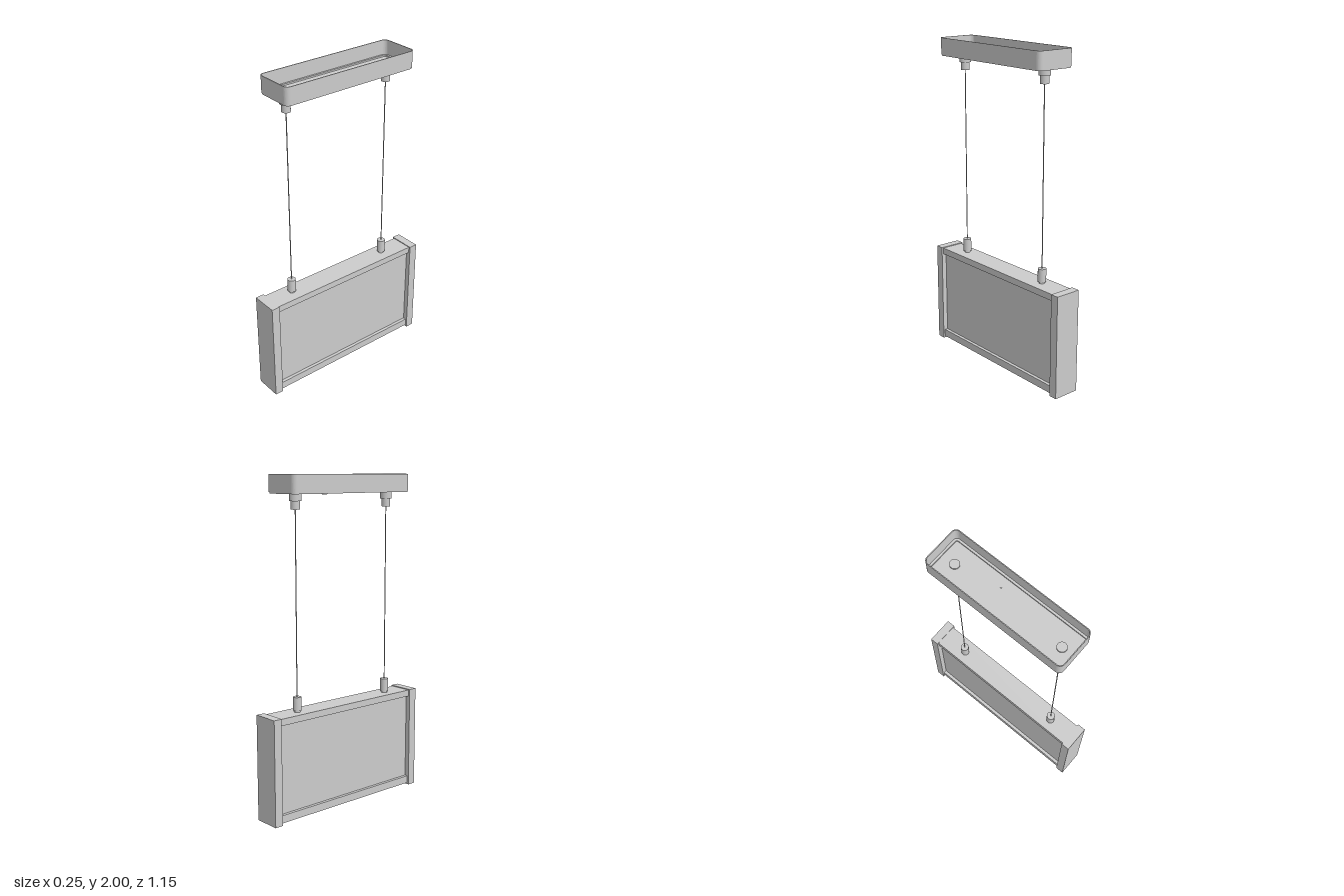
import * as THREE from 'three';

const grey = new THREE.MeshStandardMaterial({ color: 0xcccccc, side: THREE.DoubleSide });

function add(parent, name, geometry, x = 0, y = 0, z = 0) {
  const mesh = new THREE.Mesh(geometry, grey);
  mesh.name = name;
  mesh.position.set(x, y, z);
  parent.add(mesh);
  return mesh;
}

// Box given by its limits on each axis
function box(parent, name, [x0, x1], [y0, y1], [z0, z1]) {
  return add(parent, name, new THREE.BoxGeometry(x1 - x0, y1 - y0, z1 - z0),
    (x0 + x1) / 2, (y0 + y1) / 2, (z0 + z1) / 2);
}

// Upright cylinder between two heights
function rod(parent, name, r, y0, y1, x, z, sides = 24) {
  return add(parent, name, new THREE.CylinderGeometry(r, r, y1 - y0, sides), x, (y0 + y1) / 2, z);
}

// Rounded rectangle outline centred on the origin
function roundedRect(target, w, h, r) {
  const x = w / 2, y = h / 2;
  target.moveTo(-x + r, -y);
  target.lineTo(x - r, -y);
  target.absarc(x - r, -y + r, r, -Math.PI / 2, 0, false);
  target.lineTo(x, y - r);
  target.absarc(x - r, y - r, r, 0, Math.PI / 2, false);
  target.lineTo(-x + r, y);
  target.absarc(-x + r, y - r, r, Math.PI / 2, Math.PI, false);
  target.lineTo(-x, -y + r);
  target.absarc(-x + r, -y + r, r, Math.PI, Math.PI * 1.5, false);
  return target;
}

// Horizontal rounded slab, hollowed when a rim width is given
function slab(parent, name, w, d, r, y0, y1, rim = 0) {
  const shape = roundedRect(new THREE.Shape(), w, d, r);
  if (rim) shape.holes.push(roundedRect(new THREE.Path(), w - 2 * rim, d - 2 * rim, Math.max(r - rim, 0.006)));
  const geometry = new THREE.ExtrudeGeometry(shape, { depth: y1 - y0, bevelEnabled: false, curveSegments: 5 });
  geometry.rotateX(-Math.PI / 2);
  return add(parent, name, geometry, 0, y0, 0.002);
}

export function createModel() {
  const model = new THREE.Group();
  model.name = 'pendantSign';

  // Ceiling canopy: an open-topped tray
  const canopy = new THREE.Group();
  canopy.name = 'canopy';
  model.add(canopy);
  slab(canopy, 'canopyFloor', 0.244, 0.89, 0.028, 1.893, 1.903);
  slab(canopy, 'canopyWall', 0.25, 0.896, 0.03, 1.901, 2.0, 0.005);
  slab(canopy, 'canopyInnerLip', 0.242, 0.888, 0.026, 1.903, 1.912, 0.014);
  rod(canopy, 'canopyButton', 0.017, 1.884, 1.893, 0.053, -0.08);
  rod(canopy, 'buttonStem', 0.007, 1.893, 1.908, 0.053, -0.08, 12);

  // Hanging cables with their fittings
  const cableX = -0.004;
  for (const z of [0.365, -0.345]) {
    const hanger = new THREE.Group();
    hanger.name = 'hanger';
    model.add(hanger);
    rod(hanger, 'cable', 0.003, 0.72, 1.81, cableX, z, 10);
    rod(hanger, 'upperCollar', 0.035, 1.852, 1.894, cableX, z);
    rod(hanger, 'upperGrip', 0.026, 1.805, 1.854, cableX, z);
    rod(hanger, 'canopyNut', 0.028, 1.902, 1.912, cableX, z);
    rod(hanger, 'lowerNeck', 0.018, 0.63, 0.647, cableX, z);
    rod(hanger, 'lowerGrip', 0.025, 0.645, 0.726, cableX, z);
  }

  // Sign body: recessed panel held between rails and end caps
  const body = new THREE.Group();
  body.name = 'signBody';
  body.position.x = 0.002;
  model.add(body);
  const length = [-0.521, 0.521];
  box(body, 'panel', [-0.052, 0.052], [0.045, 0.6], length);
  box(body, 'topRail', [-0.072, 0.072], [0.595, 0.635], length);

  // Bottom rail, open underneath as a channel
  box(body, 'bottomRailWeb', [-0.072, 0.072], [0.042, 0.057], length);
  for (const s of [-1, 1]) {
    box(body, 'bottomRailSide', s < 0 ? [-0.072, -0.045] : [0.045, 0.072], [0.01, 0.045], length);
    box(body, 'endCap', [-0.083, 0.083], [0, 0.64], s < 0 ? [-0.573, -0.52] : [0.52, 0.573]);
  }
  return model;
}
